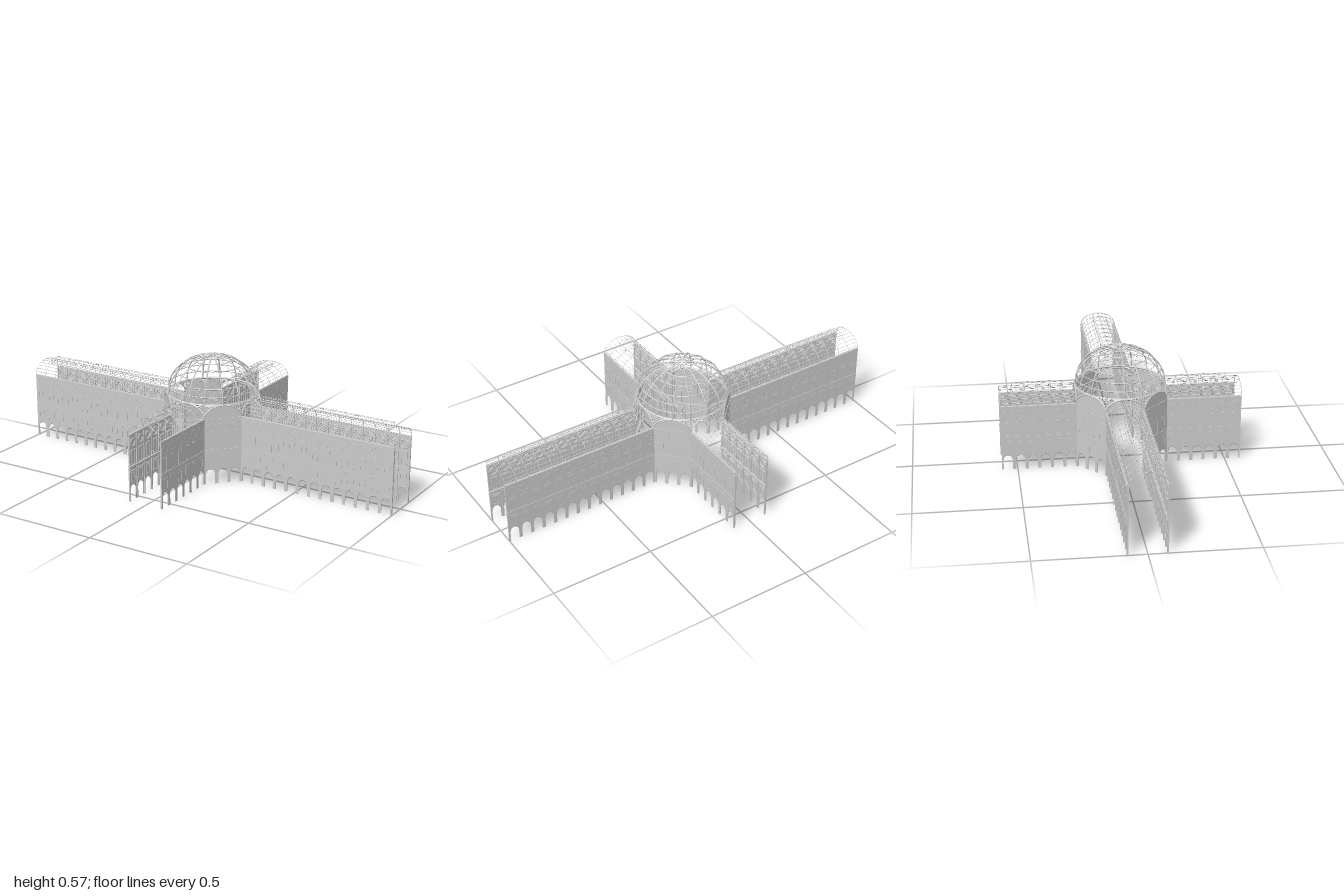
import * as THREE from 'three';
import { mergeGeometries } from 'three/addons/utils/BufferGeometryUtils.js';

const material = new THREE.MeshStandardMaterial({ color: 0xcccccc, flatShading: true, side: THREE.DoubleSide });
const HALF = 0.089;   // half width of a street and of an octagon side
const APO = 0.215;    // centre to octagon side
const WALL = 0.325;   // wall height
const RISE = 0.06;    // rise of the vaults
const V = (x, y, z) => new THREE.Vector3(x, y, z);

function part(name, geometries) {
  const mesh = new THREE.Mesh(mergeGeometries(geometries.map(g => (g.index ? g.toNonIndexed() : g))), material);
  mesh.name = name;
  return mesh;
}
const box = (w, h, d, x, y, z) => new THREE.BoxGeometry(w, h, d).translate(x, y, z);
const rod = (a, b, r) => new THREE.TubeGeometry(new THREE.LineCurve3(a, b), 1, r, 4);
const bent = (points, r, n) => new THREE.TubeGeometry(new THREE.CatmullRomCurve3(points), n, r, 4);

// Rectangular window surround
function frame(w, h, x, y, z, t = 0.003, d = 0.007) {
  return [-1, 1].flatMap(s => [
    box(t, h, d, x + s * w / 2, y, z),
    box(w + t, t, d, x, y + s * h / 2, z),
  ]);
}

// Arcaded street front, running along x and facing +z
function makeWall(length, bays, lunette) {
  const group = new THREE.Group();
  group.name = 'facade';
  const step = length / bays, r = step * 0.37, spring = 0.053;
  const shape = new THREE.Shape();
  shape.moveTo(-length / 2, 0);
  const centres = Array.from({ length: bays }, (_, i) => -length / 2 + (i + 0.5) * step);
  for (const x of centres) {
    shape.lineTo(x - r, 0);
    shape.lineTo(x - r, spring);
    shape.absarc(x, spring, r, Math.PI, 0, true);
    shape.lineTo(x + r, 0);
  }
  shape.lineTo(length / 2, 0);
  shape.lineTo(length / 2, WALL);
  if (lunette) shape.absellipse(0, WALL, length / 2, RISE, 0, Math.PI, false);
  else shape.lineTo(-length / 2, WALL);
  shape.closePath();
  group.add(part('arcadeWall', [
    new THREE.ExtrudeGeometry(shape, { depth: 0.003, bevelEnabled: false, curveSegments: 10 }).translate(0, 0, -0.0015),
  ]));

  // Pilasters between the bays
  const pilasters = [];
  for (let i = 0; i <= bays; i++) {
    const x = THREE.MathUtils.clamp(-length / 2 + i * step, -length / 2 + 0.003, length / 2 - 0.003);
    pilasters.push(
      box(0.006, 0.16, 0.006, x, 0.08, 0.003),
      box(0.006, 0.142, 0.006, x, 0.243, 0.003),
      box(0.01, 0.006, 0.01, x, 0.155, 0.003),
      box(0.01, 0.006, 0.01, x, 0.31, 0.003));
  }
  group.add(part('pilasters', pilasters));

  // Arch trims, windows and round upper ornaments
  const trims = [], windows = [], rounds = [];
  for (const x of centres) {
    trims.push(new THREE.TorusGeometry(r, 0.0025, 4, 10, Math.PI).translate(x, spring, 0.001));
    windows.push(
      ...frame(0.03, 0.045, x, 0.112, 0.001),
      ...frame(0.026, 0.062, x, 0.208, 0.001),
      box(0.036, 0.004, 0.01, x, 0.145, 0.002),
      box(0.034, 0.004, 0.01, x, 0.244, 0.002));
    rounds.push(
      new THREE.TorusGeometry(0.022, 0.003, 4, 8).translate(x, 0.281, 0.001),
      new THREE.TorusGeometry(0.015, 0.0015, 4, 8).translate(x, 0.281, 0.002));
  }
  group.add(part('archTrims', trims), part('windowSurrounds', windows), part('roundOrnaments', rounds));

  // Stepped middle cornice and top cornice
  group.add(part('cornices', [
    box(length, 0.006, 0.014, 0, 0.168, 0.003),
    box(length, 0.004, 0.009, 0, 0.162, 0.003),
    box(length, 0.005, 0.012, 0, WALL - 0.003, 0.002),
  ]));
  return group;
}

// Open glazing-bar barrel vault with a raised ridge light
function makeVault(length, bays) {
  const ribs = [], ridge = [];
  const at = (x, a, k = 1) => V(x, WALL + RISE * k * Math.sin(a), HALF * k * Math.cos(a));
  for (let i = 0; i <= bays; i++) {
    const x = i * length / bays;
    ribs.push(bent(Array.from({ length: 13 }, (_, j) => at(x, j * Math.PI / 12)), 0.0014, 16));
  }
  for (let j = 0; j <= 12; j++) {
    const a = j * Math.PI / 12;
    ribs.push(rod(at(0, a), at(length, a), 0.0012));
  }
  const x0 = 0.06, x1 = length - 0.06, w = 0.035, base = 0.38, eave = 0.396, top = 0.404;
  for (const [y, z] of [[base, w], [base, -w], [eave, w], [eave, -w], [top, 0]]) {
    ridge.push(rod(V(x0, y, z), V(x1, y, z), 0.0012));
  }
  const n = bays - 2;
  for (let i = 0; i <= n; i++) {
    const x = x0 + (x1 - x0) * i / n;
    for (const s of [-1, 1]) {
      ridge.push(rod(V(x, base, s * w), V(x, eave, s * w), 0.0011), rod(V(x, eave, s * w), V(x, top, 0), 0.0011));
    }
  }
  const group = new THREE.Group();
  group.name = 'barrelVault';
  group.add(part('vaultBars', ribs), part('ridgeLight', ridge));
  return group;
}

// One covered street, running from the octagon along +x
function makeArm(length, bays) {
  const arm = new THREE.Group();
  arm.name = 'street';
  for (const s of [-1, 1]) {
    const wall = makeWall(length, bays, false);
    wall.position.set(APO + length / 2, 0, s * HALF);
    wall.rotation.y = s > 0 ? Math.PI : 0;
    arm.add(wall);
  }
  const vault = makeVault(length, bays);
  vault.position.x = APO;
  arm.add(vault);
  return arm;
}

// Ribbed dome
function makeDome() {
  const base = WALL + RISE, height = 0.18, ribs = [], rings = [];
  const ring = (r, y, t) => new THREE.TorusGeometry(r, t, 4, 32).rotateX(Math.PI / 2).translate(0, y, 0);
  for (let i = 0; i < 16; i++) {
    const points = Array.from({ length: 9 }, (_, j) => {
      const a = j / 8 * 1.49;
      return V(APO * Math.cos(a), base + height * Math.sin(a), 0);
    });
    ribs.push(bent(points, 0.0035, 16).rotateY(i * Math.PI / 8));
  }
  for (const h of [0.2, 0.4, 0.585, 0.77, 0.9, 0.97, 0.996]) {
    rings.push(ring(APO * Math.sqrt(1 - h * h), base + height * h, 0.0025));
  }
  rings.push(ring(APO - 0.002, base, 0.005), ring(APO - 0.006, base - 0.008, 0.0025));
  const group = new THREE.Group();
  group.name = 'dome';
  group.add(part('domeRibs', ribs), part('domeRings', rings));
  return group;
}

// Arches over the octagon sides and the curved lattice filling the corners
function makeDomeSupport() {
  const arches = [], lattice = [];
  const onSide = (s, y) => V(s * HALF, y, APO);
  const heightAt = t => WALL + RISE * Math.sin(t);
  for (let k = 0; k < 8; k++) {
    const turn = k * Math.PI / 4;
    const arch = Array.from({ length: 13 }, (_, j) => onSide(Math.cos(j * Math.PI / 12), heightAt(j * Math.PI / 12)));
    arches.push(bent(arch, 0.004, 16).rotateY(turn));
    const corner = (t) => {
      const r = THREE.MathUtils.lerp(APO / Math.cos(Math.PI / 8), APO, Math.sin(t));
      return V(r * Math.sin(Math.PI / 8), heightAt(t), r * Math.cos(Math.PI / 8));
    };
    for (const t of [0.3, 0.55, 0.8, 1.05, 1.3]) {
      const a = onSide(Math.cos(t), heightAt(t));
      const b = onSide(-Math.cos(t), heightAt(t)).applyAxisAngle(V(0, 1, 0), Math.PI / 4);
      lattice.push(bent([a, corner(t), b], 0.002, 6).rotateY(turn));
    }
    lattice.push(bent([0, 0.4, 0.8, 1.2, 1.57].map(corner), 0.003, 8).rotateY(turn));
  }
  const group = new THREE.Group();
  group.name = 'domeSupport';
  group.add(part('octagonArches', arches), part('cornerLattice', lattice));
  return group;
}

export function createModel() {
  const model = new THREE.Group();
  model.name = 'arcadeGallery';
  for (let k = 0; k < 4; k++) {
    const long = k % 2 === 0;
    const arm = long ? makeArm(1 - APO, 13) : makeArm(0.575 - APO, 6);
    arm.rotation.y = k * Math.PI / 2;
    model.add(arm);

    // Diagonal octagon side with its lunette
    const corner = new THREE.Group();
    corner.name = 'octagonCorner';
    const wall = makeWall(2 * HALF, 3, true);
    wall.position.z = -APO;
    corner.add(wall);
    corner.rotation.y = Math.PI / 4 + k * Math.PI / 2;
    model.add(corner);
  }
  model.add(makeDomeSupport(), makeDome());
  return model;
}
